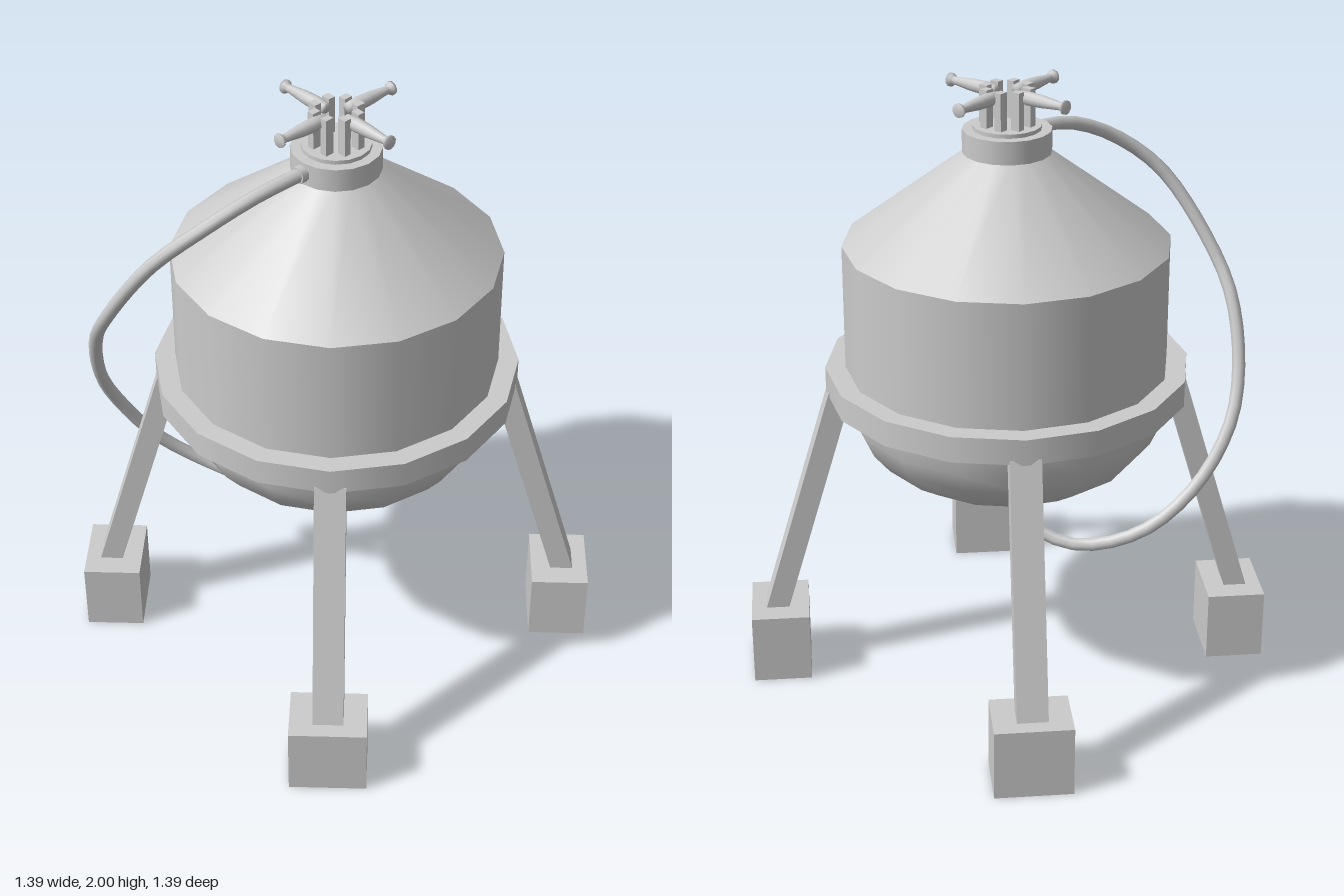
import * as THREE from 'three';

const material = new THREE.MeshStandardMaterial({ color: 0xcccccc });
const doubleMaterial = new THREE.MeshStandardMaterial({ color: 0xcccccc, side: THREE.DoubleSide });
const SIDES = 16;

function add(parent, name, geometry, mat = material) {
  const mesh = new THREE.Mesh(geometry, mat);
  mesh.name = name;
  parent.add(mesh);
  return mesh;
}

// Upright drum between two heights, smooth around, sharp at the rims
function drum(parent, name, rTop, rBottom, y0, y1, open = false) {
  const g = new THREE.CylinderGeometry(rTop, rBottom, y1 - y0, SIDES, 1, open);
  return add(parent, name, g.translate(0, (y0 + y1) / 2, 0), open ? doubleMaterial : material);
}

function lathe(points, sides) {
  return new THREE.LatheGeometry(points.map(([r, y]) => new THREE.Vector2(r, y)), sides);
}

// Leaning square leg with its foot block, reaching out along +z
function createLeg() {
  const leg = new THREE.Group();
  leg.name = 'leg';
  const strut = new THREE.BoxGeometry(0.098, 0.78, 0.075);
  const p = strut.attributes.position;
  for (let i = 0; i < p.count; i++) {
    p.setZ(i, p.getZ(i) + (p.getY(i) > 0 ? 0.54 : 0.773));
  }
  strut.translate(0, 0.625, 0);
  strut.computeVertexNormals();
  add(leg, 'strut', strut);
  add(leg, 'foot', new THREE.BoxGeometry(0.248, 0.235, 0.19).translate(0, 0.1175, 0.765));
  return leg;
}

// Handle held between two posts, pointing along +z
function createHandle() {
  const arm = new THREE.Group();
  arm.name = 'valveHandle';
  for (const s of [-1, 1]) {
    add(arm, 'handlePost', new THREE.BoxGeometry(0.024, 0.13, 0.03).translate(s * 0.028, 1.935, 0.064));
  }
  const grip = lathe([[0, 0.045], [0.018, 0.045], [0.022, 0.09], [0.02, 0.14],
    [0.013, 0.205], [0.014, 0.215], [0.022, 0.221], [0.022, 0.23], [0, 0.23]], 10);
  add(arm, 'grip', grip.rotateX(Math.PI / 2).translate(0, 1.977, 0));
  return arm;
}

export function createModel() {
  const model = new THREE.Group();
  model.name = 'tank';

  // Tank shell
  add(model, 'bowl', lathe([[0, 0.686], [0.165, 0.69], [0.34, 0.73], [0.425, 0.785],
    [0.478, 0.85], [0.51, 0.92], [0.52, 1.0]], SIDES), doubleMaterial);
  drum(model, 'body', 0.52, 0.52, 1.0, 1.497, true);
  drum(model, 'coneRoof', 0.13, 0.52, 1.497, 1.795, true);
  drum(model, 'supportRing', 0.585, 0.585, 1.0, 1.085);
  drum(model, 'collar', 0.14, 0.14, 1.793, 1.867);
  drum(model, 'cap', 0.108, 0.108, 1.86, 1.88);

  // Four legs on the diagonals, four handles on the axes
  for (let i = 0; i < 4; i++) {
    const leg = createLeg();
    leg.rotation.y = (i + 0.5) * Math.PI / 2;
    const handle = createHandle();
    handle.rotation.y = i * Math.PI / 2;
    model.add(leg, handle);
  }

  // Hose looping from the collar round to the bottom outlet
  const path = new THREE.CatmullRomCurve3([
    [0, 1.83, 0.12], [0, 1.83, 0.18], [-0.02, 1.81, 0.31], [-0.08, 1.735, 0.465],
    [-0.185, 1.61, 0.58], [-0.36, 1.355, 0.635], [-0.455, 1.21, 0.612], [-0.53, 1.0, 0.55],
    [-0.555, 0.84, 0.47], [-0.51, 0.65, 0.35], [-0.405, 0.51, 0.205], [-0.23, 0.45, 0.085],
    [-0.085, 0.5, 0.02], [-0.012, 0.6, 0], [0, 0.7, 0],
  ].map((v) => new THREE.Vector3(...v)));
  add(model, 'hose', new THREE.TubeGeometry(path, 40, 0.022, 8), doubleMaterial);
  add(model, 'hoseFitting', new THREE.CylinderGeometry(0.027, 0.027, 0.04, 10)
    .rotateX(Math.PI / 2).translate(0, 1.83, 0.14));

  return model;
}
